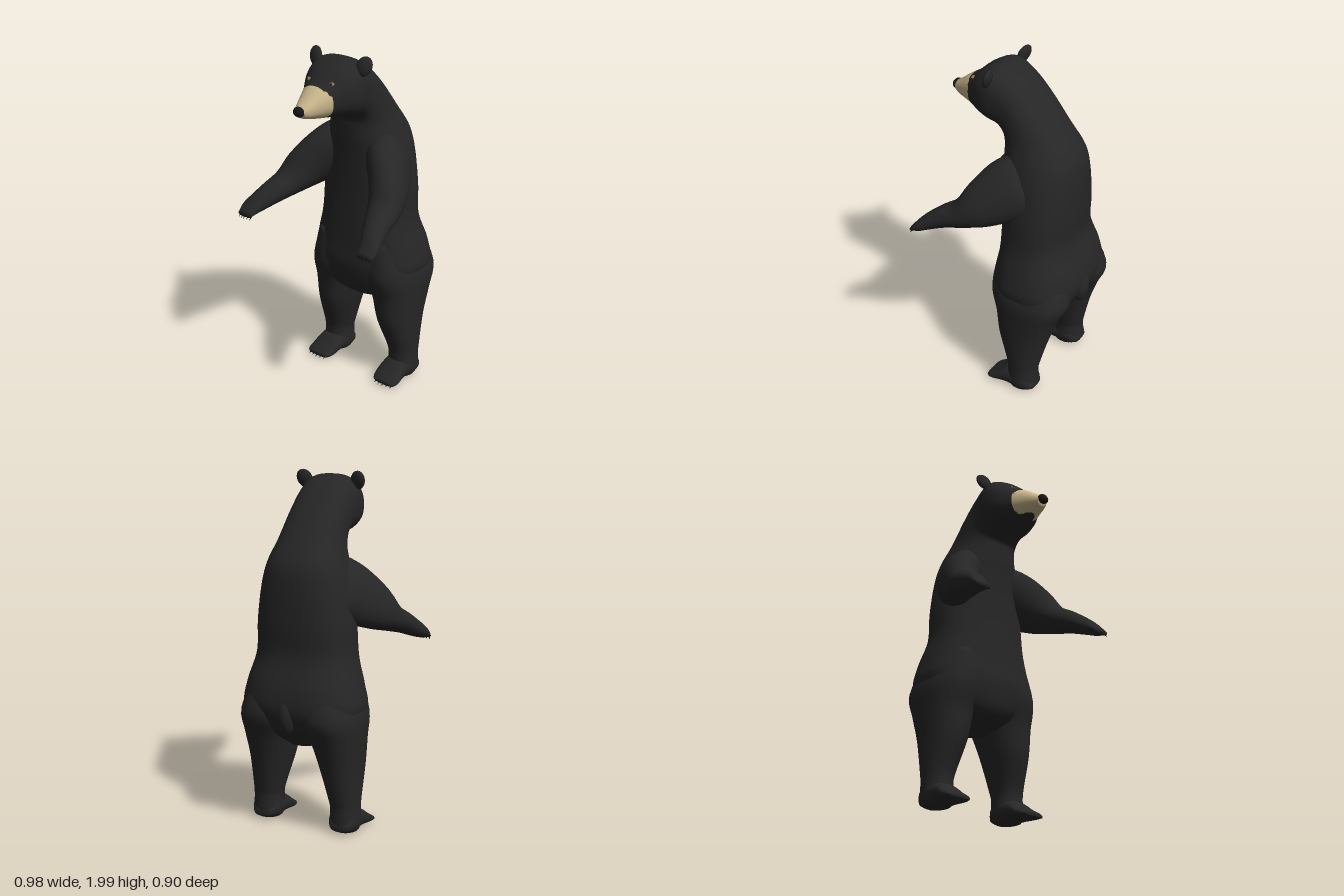
import * as THREE from 'three';

const mat = (name, color) => {
  const m = new THREE.MeshStandardMaterial({ color });
  m.name = name;
  return m;
};

// Scalar Catmull-Rom through four values
const spline = (a, b, c, d, t) =>
  b + 0.5 * t * (c - a + t * (2 * a - 5 * b + 4 * c - d + t * (3 * (b - c) + d - a)));

// Skin through cross-sections [centre x, z1, y1, z2, y2, half width, squareness].
// Points 1 and 2 are the front/back (or lower/upper) ends of each section.
// isAlt(y, z) picks the faces that take the second material.
function loft(sections, { steps = 4, sides = 32, isAlt = () => false } = {}) {
  const pos = [], main = [], alt = [];
  const at = (i) => sections[Math.max(0, Math.min(sections.length - 1, i))];
  const rings = (sections.length - 1) * steps + 1;
  const centres = [];
  for (let r = 0; r < rings; r++) {
    const i = Math.min(Math.floor(r / steps), sections.length - 2);
    const t = r / steps - i;
    const [x, z1, y1, z2, y2, w, e] = at(i).map((_, k) =>
      spline(at(i - 1)[k], at(i)[k], at(i + 1)[k], at(i + 2)[k], t));
    const cy = (y1 + y2) / 2, cz = (z1 + z2) / 2;
    centres.push([x, cy, cz]);
    for (let j = 0; j < sides; j++) {
      const a = (j / sides) * Math.PI * 2;
      const p = (v) => Math.sign(v) * Math.pow(Math.abs(v), 2 / e);
      const c = p(Math.cos(a)), s = p(Math.sin(a));
      pos.push(x + w * c, cy + s * (y2 - y1) / 2, cz + s * (z2 - z1) / 2);
    }
  }
  pos.push(...centres[0], ...centres[rings - 1]);
  const face = (...v) => {
    const mean = (k) => v.reduce((sum, n) => sum + pos[n * 3 + k], 0) / 3;
    (isAlt(mean(1), mean(2)) ? alt : main).push(...v);
  };
  const first = rings * sides, top = (rings - 1) * sides;
  for (let j = 0; j < sides; j++) {
    const k = (j + 1) % sides;
    for (let r = 0; r < rings - 1; r++) {
      const a = r * sides, b = a + sides;
      face(a + j, a + k, b + k);
      face(a + j, b + k, b + j);
    }
    face(first, k, j);
    face(first + 1, top + j, top + k);
  }
  const g = new THREE.BufferGeometry();
  g.setAttribute('position', new THREE.Float32BufferAttribute(pos, 3));
  g.setIndex([...main, ...alt]);
  g.addGroup(0, main.length, 0);
  g.addGroup(main.length, alt.length, 1);
  g.computeVertexNormals();
  return g;
}

// Hips, trunk, neck, skull and muzzle in one skin
const BODY = [
  [0, -0.10, 0.49, -0.28, 0.50, 0.08, 2.2],
  [0, 0.01, 0.57, -0.38, 0.60, 0.27, 2.3],
  [0, 0.05, 0.72, -0.435, 0.72, 0.35, 2.6],
  [0, 0.045, 0.85, -0.425, 0.85, 0.332, 2.6],
  [0, 0.04, 1.00, -0.375, 1.02, 0.29, 2.5],
  [0, 0.035, 1.20, -0.38, 1.20, 0.28, 2.4],
  [0, 0.04, 1.38, -0.378, 1.40, 0.255, 2.3],
  [0, 0.05, 1.50, -0.355, 1.53, 0.225, 2.3],
  [0, 0.055, 1.58, -0.27, 1.66, 0.19, 2.3],
  [0, 0.06, 1.62, -0.14, 1.82, 0.175, 2.4],
  [0, 0.09, 1.645, -0.02, 1.93, 0.17, 2.6],
  [0, 0.14, 1.66, 0.10, 1.982, 0.178, 2.7],
  [0, 0.20, 1.675, 0.19, 1.95, 0.16, 2.5],
  [0, 0.26, 1.68, 0.27, 1.88, 0.115, 2.2],
  [0, 0.32, 1.688, 0.33, 1.84, 0.083, 2.2],
  [0, 0.38, 1.70, 0.395, 1.79, 0.054, 2.2],
  [0, 0.41, 1.71, 0.43, 1.765, 0.034, 2.1],
];

const ARM = [
  [0.10, -0.27, 1.34, -0.12, 1.56, 0.09, 2],
  [0.16, -0.25, 1.27, -0.05, 1.55, 0.12, 2],
  [0.215, -0.15, 1.20, 0.05, 1.48, 0.138, 2],
  [0.295, -0.02, 1.15, 0.13, 1.37, 0.117, 2],
  [0.34, 0.10, 1.12, 0.19, 1.265, 0.098, 2],
  [0.375, 0.22, 1.09, 0.27, 1.21, 0.08, 2],
  [0.408, 0.31, 1.06, 0.34, 1.155, 0.067, 2.1],
  [0.432, 0.37, 1.04, 0.385, 1.11, 0.06, 2.2],
  [0.437, 0.42, 1.032, 0.425, 1.06, 0.05, 2.2],
];

const LEG = [
  [0.25, -0.10, 0.02, -0.25, 0.02, 0.07, 2.2],
  [0.25, -0.09, 0.06, -0.27, 0.06, 0.085, 2.2],
  [0.25, -0.092, 0.15, -0.272, 0.15, 0.083, 2.2],
  [0.245, -0.08, 0.22, -0.28, 0.20, 0.09, 2.2],
  [0.225, -0.02, 0.39, -0.33, 0.40, 0.118, 2.2],
  [0.213, 0, 0.55, -0.38, 0.55, 0.14, 2.3],
  [0.19, 0.04, 0.70, -0.435, 0.70, 0.165, 2.3],
  [0.17, 0.02, 0.90, -0.36, 0.90, 0.12, 2.2],
];

const FOOT = [
  [0.25, -0.27, 0.03, -0.27, 0.07, 0.05, 2.3],
  [0.25, -0.22, 0.01, -0.22, 0.14, 0.083, 2.4],
  [0.25, -0.10, 0.01, -0.10, 0.13, 0.083, 2.3],
  [0.253, -0.03, 0.01, -0.03, 0.08, 0.088, 2.3],
  [0.258, 0.01, 0.012, 0.01, 0.055, 0.08, 2.3],
  [0.26, 0.028, 0.02, 0.028, 0.04, 0.062, 2.3],
];

export function createModel() {
  const model = new THREE.Group();
  model.name = 'standingBear';
  const fur = mat('blackFur', 0x262626);
  const tan = mat('tanMuzzle', 0xc8b48a);
  const nose = mat('noseBlack', 0x161616);
  const claw = mat('clawBlack', 0x1c1b1a);
  const amber = mat('eyeAmber', 0x8a7650);

  const add = (name, geometry, material, parent = model) => {
    const m = new THREE.Mesh(geometry, material);
    m.name = name;
    parent.add(m);
    return m;
  };
  const blob = (name, material, p, s, parent) => {
    const m = add(name, new THREE.SphereGeometry(1, 20, 14), material, parent);
    m.position.set(...p);
    m.scale.set(...s);
    return m;
  };

  const isMuzzle = (y, z) => y > 1.692 && z > 0.275 + Math.max(0, y - 1.8) * 0.5;
  add('body', loft(BODY, { steps: 6, sides: 48, isAlt: isMuzzle }), [fur, tan]);
  blob('nose', nose, [0, 1.748, 0.425], [0.035, 0.028, 0.024]);
  blob('tail', fur, [0, 0.69, -0.41], [0.05, 0.095, 0.04]).rotation.x = -0.12;

  // Five claws fanned across a paw
  const claws = (parent, x, y, z, gap, tilt) => {
    for (let i = -2; i <= 2; i++) {
      const c = add('claw', new THREE.ConeGeometry(0.007, 0.036, 6), claw, parent);
      c.position.set(x + i * gap, y, z - Math.abs(i) * 0.004);
      c.rotation.x = tilt;
    }
  };

  for (const side of [1, -1]) {
    const label = side > 0 ? 'left' : 'right';
    const flip = (sections) => sections.map(([x, ...rest]) => [x * side, ...rest]);
    const limb = (name) => {
      const g = new THREE.Group();
      g.name = label + name;
      model.add(g);
      return g;
    };
    // Front limb
    const arm = limb('FrontLimb');
    add('arm', loft(flip(ARM)), fur, arm);
    claws(arm, 0.437 * side, 1.036, 0.425, 0.021, 2.5);
    // Hind limb
    const hind = limb('HindLimb');
    add('leg', loft(flip(LEG)), fur, hind);
    add('foot', loft(flip(FOOT)), fur, hind);
    claws(hind, 0.26 * side, 0.021, 0.03, 0.028, 1.95);
    // Ear and eye
    const ear = blob(label + 'Ear', fur, [0.168 * side, 1.95, 0.1], [0.046, 0.056, 0.022]);
    ear.rotation.set(-0.25, side * 0.2, -side * 0.4);
    blob(label + 'Eye', amber, [0.081 * side, 1.873, 0.256], [0.013, 0.01, 0.013]);
    blob(label + 'Pupil', nose, [0.083 * side, 1.875, 0.265], [0.006, 0.006, 0.006]);
  }
  return model;
}
